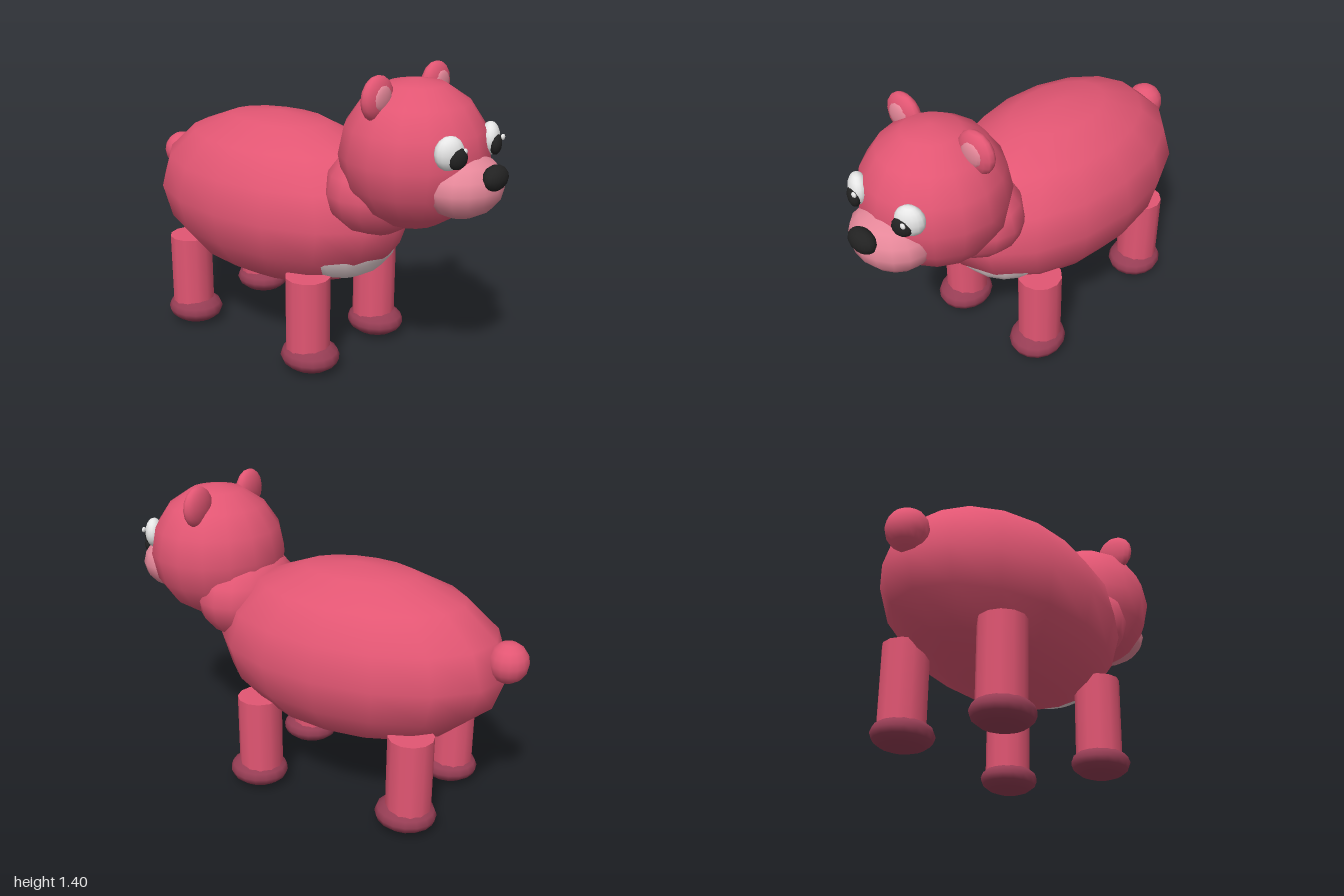
import * as THREE from 'three';

const mat = (name, color) => {
  const m = new THREE.MeshStandardMaterial({ color });
  m.name = name;
  return m;
};

export function createModel() {
  const fur = mat('rose fur', 0xe25673);
  const paw = mat('dark rose paw', 0x963d54);
  const pink = mat('pale pink', 0xe58799);
  const cream = mat('pale belly', 0xf3dde0);
  const white = mat('white', 0xf2f2f2);
  const black = mat('black', 0x222222);

  const bear = new THREE.Group();
  bear.name = 'bear';
  const ball = new THREE.SphereGeometry(1, 16, 8);

  // Ellipsoid from a centre and three radii
  const blob = (name, material, pos, radii, turn = 0) => {
    const mesh = new THREE.Mesh(ball, material);
    mesh.name = name;
    mesh.position.set(...pos);
    mesh.scale.set(...radii);
    mesh.rotation.y = turn;
    bear.add(mesh);
    return mesh;
  };

  // Trunk and tail
  blob('body', fur, [0, 0.71, -0.205], [0.445, 0.405, 0.705]);
  blob('belly', cream, [0, 0.6, 0.2], [0.28, 0.2, 0.235]);
  blob('neck', fur, [0, 0.875, 0.4], [0.29, 0.215, 0.22]);
  blob('tail', fur, [0, 0.79, -0.91], [0.092, 0.092, 0.09]);

  // Head and muzzle
  blob('head', fur, [0, 1.055, 0.565], [0.322, 0.32, 0.32]);
  blob('muzzle', pink, [0, 0.967, 0.81], [0.193, 0.135, 0.16]);
  blob('nose', black, [0, 1.025, 0.953], [0.073, 0.053, 0.045]);

  // Legs with paws
  const legShape = new THREE.CylinderGeometry(0.103, 0.103, 0.38, 12);
  for (const [end, z, pawZ] of [['front', 0.187, 0.2], ['back', -0.59, -0.578]]) {
    for (const [side, s] of [['Left', 1], ['Right', -1]]) {
      const leg = new THREE.Mesh(legShape, fur);
      leg.name = end + side + 'Leg';
      leg.position.set(s * 0.245, 0.273, z);
      bear.add(leg);
      blob(end + side + 'Paw', paw, [s * 0.245, 0.075, pawZ], [0.13, 0.07, 0.141]);
    }
  }

  // Ears and eyes
  for (const [side, s] of [['left', 1], ['right', -1]]) {
    blob(side + 'Ear', fur, [s * 0.205, 1.312, 0.52], [0.095, 0.095, 0.043]);
    blob(side + 'InnerEar', pink, [s * 0.207, 1.315, 0.548], [0.056, 0.056, 0.02]);
    blob(side + 'Eye', white, [s * 0.151, 1.135, 0.832], [0.064, 0.07, 0.042], s * 0.5);
    blob(side + 'Pupil', black, [s * 0.142, 1.118, 0.865], [0.045, 0.045, 0.026], s * 0.4);
    blob(side + 'Glint', white, [s * 0.142 + 0.025, 1.144, 0.882], [0.013, 0.013, 0.008]);
  }

  return bear;
}
